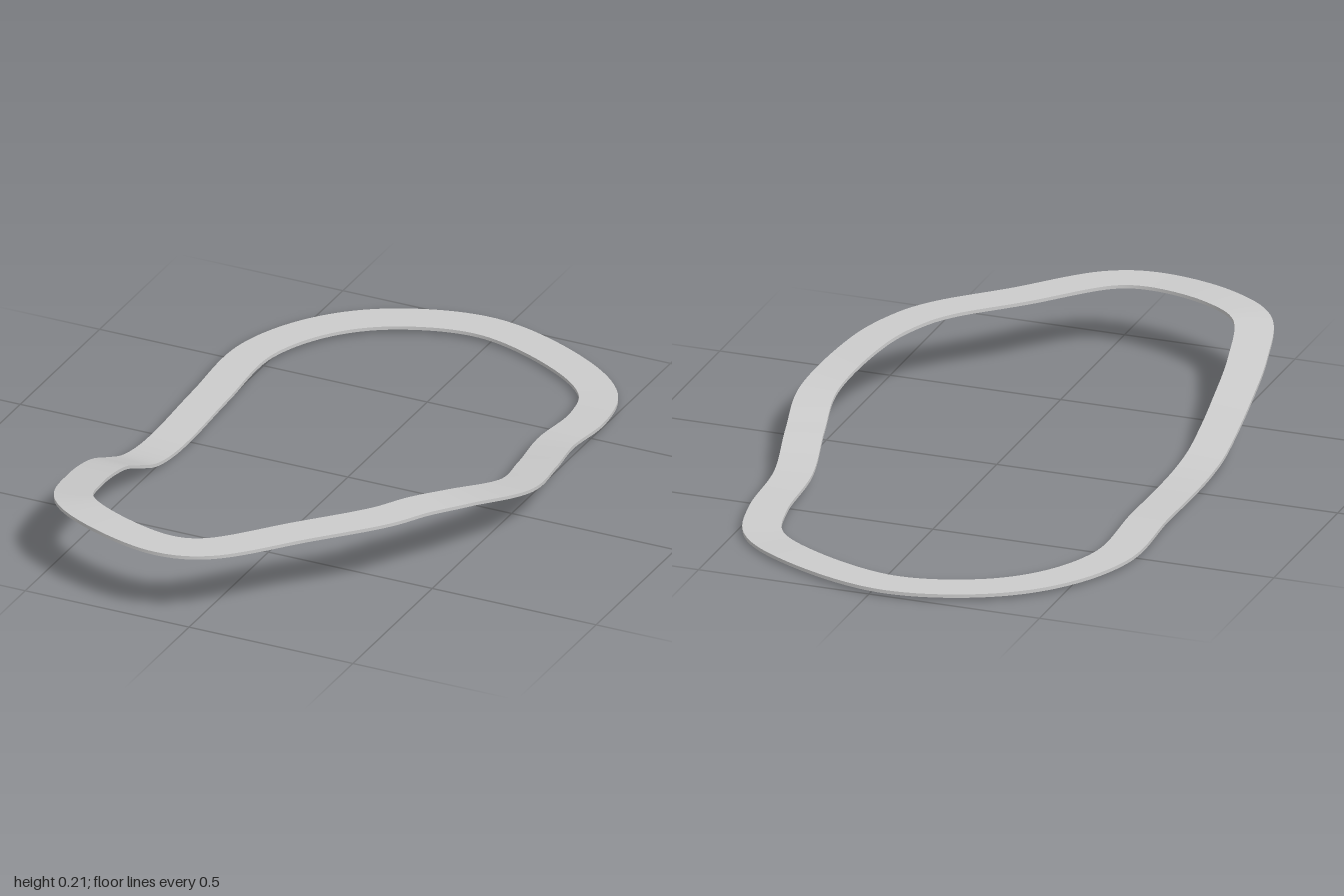
import * as THREE from 'three';

const WIDTH = 0.108, THICKNESS = 0.01, STEPS = 240;

// Centre line of the circuit: back, left side, front, right side
const CENTRE = [
  [-0.03, 0.017, -0.947], [-0.285, 0.017, -0.885], [-0.445, 0.017, -0.755], [-0.543, 0.017, -0.55],
  [-0.54, 0.016, -0.25], [-0.535, 0.008, 0], [-0.535, 0.013, 0.12], [-0.537, 0.029, 0.21],
  [-0.539, 0.065, 0.3], [-0.537, 0.107, 0.4], [-0.511, 0.158, 0.6], [-0.455, 0.196, 0.785],
  [-0.33, 0.204, 0.878], [-0.115, 0.202, 0.937], [0.005, 0.202, 0.905], [0.2, 0.203, 0.7],
  [0.36, 0.206, 0.53], [0.42, 0.205, 0.43], [0.483, 0.186, 0.3], [0.542, 0.126, 0.06],
  [0.508, 0.085, -0.145], [0.462, 0.046, -0.36], [0.457, 0.023, -0.57], [0.415, 0.015, -0.72],
  [0.28, 0.016, -0.837],
];

// Sweeps a level rectangular section around a closed curve, with sharp long edges
function ribbonGeometry(curve, width, thickness, steps) {
  const w = width / 2, t = thickness / 2;
  const section = [[-w, t], [w, t], [w, -t], [-w, -t]];
  const positions = [], index = [];
  section.forEach((corner, s) => {
    const pair = [corner, section[(s + 1) % section.length]];
    const base = positions.length / 3;
    for (let i = 0; i < steps; i++) {
      const p = curve.getPointAt(i / steps);
      const d = curve.getTangentAt(i / steps);
      const out = new THREE.Vector3(-d.z, 0, d.x).normalize();
      for (const [side, up] of pair) {
        positions.push(p.x + out.x * side, p.y + up, p.z + out.z * side);
      }
      const a = base + 2 * i, c = base + 2 * ((i + 1) % steps);
      index.push(a, a + 1, c, a + 1, c + 1, c);
    }
  });
  const geometry = new THREE.BufferGeometry();
  geometry.setAttribute('position', new THREE.Float32BufferAttribute(positions, 3));
  geometry.setIndex(index);
  geometry.computeVertexNormals();
  return geometry;
}

export function createModel() {
  const group = new THREE.Group();
  group.name = 'circuit';
  const curve = new THREE.CatmullRomCurve3(CENTRE.map((p) => new THREE.Vector3(...p)), true, 'centripetal');
  curve.arcLengthDivisions = 1000;

  // Thin road surface
  const track = new THREE.Mesh(
    ribbonGeometry(curve, WIDTH, THICKNESS, STEPS),
    new THREE.MeshStandardMaterial({ color: 0xcccccc }),
  );
  track.name = 'track';
  group.add(track);

  // Rest the lowest point on the ground
  track.geometry.computeBoundingBox();
  track.position.y = -track.geometry.boundingBox.min.y;
  return group;
}
